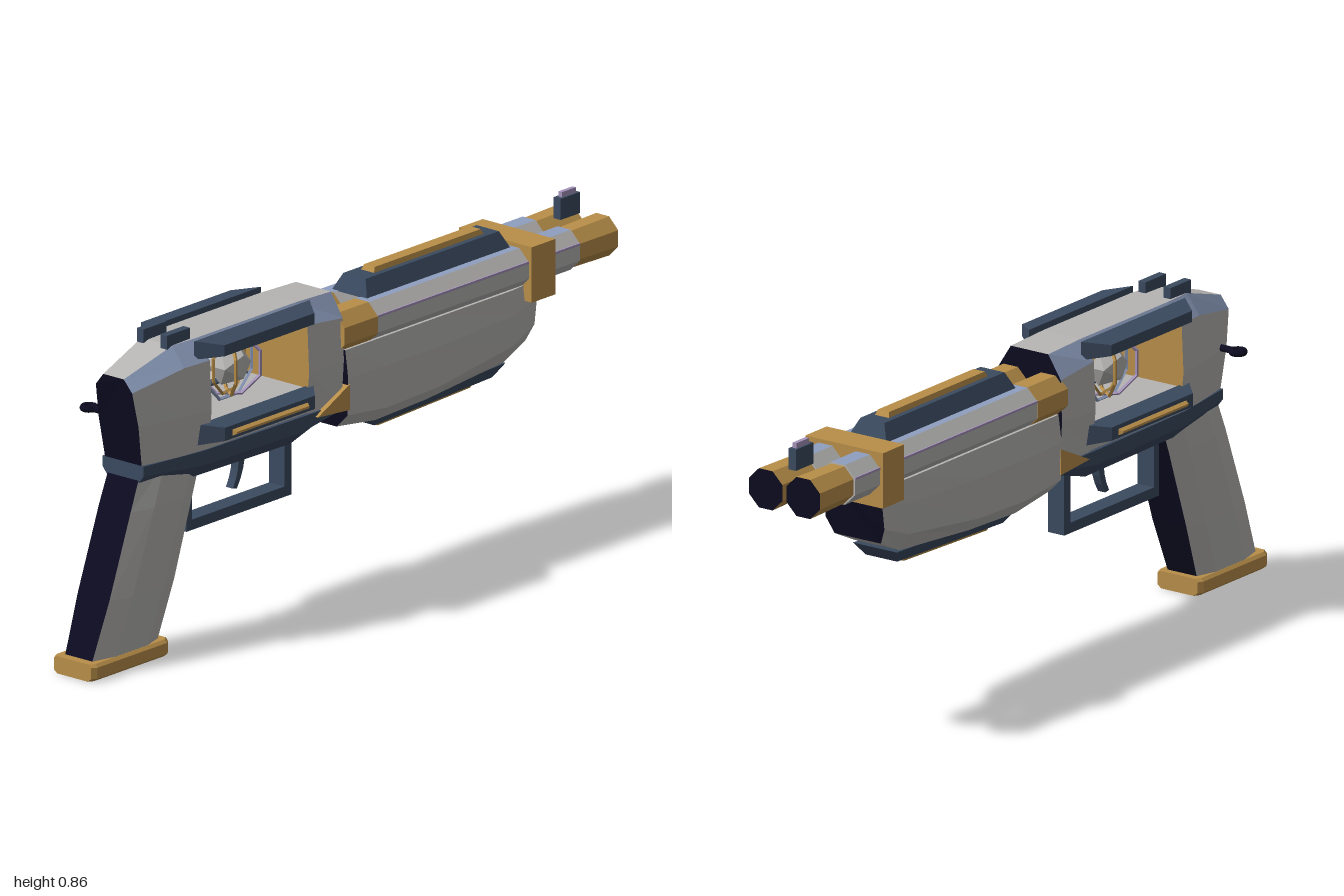
import * as THREE from 'three';

const mat = (name, color) => {
  const m = new THREE.MeshStandardMaterial({ color });
  m.name = name;
  return m;
};

export function createModel() {
  const group = new THREE.Group();
  const gray = mat('light gray', 0xb6b5b3);
  const blue = mat('pale blue', 0x8f9fc0);
  const steel = mat('dark steel', 0x3b4a60);
  const gold = mat('brass', 0xb98f49);
  const dark = mat('midnight', 0x0c0b20);
  const lilac = mat('lilac', 0xa794bd);

  const add = (name, geo, material, x = 0, y = 0, z = 0) => {
    const g = geo.index ? geo.toNonIndexed() : geo;
    g.computeVertexNormals(); // faceted look
    const m = new THREE.Mesh(g, material);
    m.name = name;
    m.position.set(x, y, z);
    group.add(m);
    return m;
  };

  // Loft of mirrored half rings [x, y, z]; colours for sides, bottom, top and caps
  function loft(name, sections, { sides, bottom, top, start, end }, z = 0) {
    const rings = sections.map(s => [...s, ...s.slice().reverse().map(([a, b, c]) => [a, b, -c])]);
    const n = sections[0].length, count = 2 * n;
    const pos = [], mats = [], geo = new THREE.BufferGeometry();
    const tri = (m, ...p) => {
      let i = mats.indexOf(m);
      if (i < 0) i = mats.push(m) - 1;
      geo.addGroup(pos.length / 3, 3, i);
      p.forEach(q => pos.push(...q));
    };
    const first = rings[0], last = rings[rings.length - 1];
    for (let k = 0; k < count; k++) {
      const j = (k + 1) % count;
      const m = k === n - 1 ? bottom : k === count - 1 ? top : sides[Math.min(k, count - 2 - k)];
      for (let r = 0; r + 1 < rings.length; r++) {
        const a = rings[r], b = rings[r + 1];
        tri(m, a[k], a[j], b[j]);
        tri(m, a[k], b[j], b[k]);
      }
      if (k > 0 && k < count - 1) {
        tri(end, last[0], last[k], last[j]);
        tri(start, first[0], first[j], first[k]);
      }
    }
    geo.setAttribute('position', new THREE.Float32BufferAttribute(pos, 3));
    return add(name, geo, mats, 0, 0, z);
  }
  const all = (c, n, over = {}) => ({ sides: Array(n).fill(c), bottom: c, top: c, start: c, end: c, ...over });
  const at = (x, pts) => pts.map(([y, z]) => [x, y, z]);
  const box = (name, m, x0, x1, y0, y1, hw, z = 0) =>
    add(name, new THREE.BoxGeometry(x1 - x0, y1 - y0, 2 * hw), m, (x0 + x1) / 2, (y0 + y1) / 2, z);

  // Plate whose outer face is smaller than its base
  function slab(w, h, d, insetX, insetZ) {
    const g = new THREE.BoxGeometry(w, h, d), p = g.attributes.position;
    for (let i = 0; i < p.count; i++) if (p.getY(i) > 0) {
      p.setX(i, p.getX(i) - Math.sign(p.getX(i)) * insetX);
      p.setZ(i, p.getZ(i) - Math.sign(p.getZ(i)) * insetZ);
    }
    return g;
  }

  // Grip and its base
  const gripRing = (y, f, b, w, s) => [[f, y, s], [f - 0.06, y, w], [b + 0.07, y, w], [b, y, s]];
  loft('grip', [
    gripRing(0.53, -0.55, -0.79, 0.07, 0.052),
    gripRing(0.42, -0.59, -0.835, 0.074, 0.054),
    gripRing(0.2, -0.665, -0.918, 0.073, 0.054),
    gripRing(0.045, -0.722, -0.977, 0.064, 0.046),
  ], all(gray, 3, { top: dark, bottom: dark }));
  const baseRing = (x, w) => at(x, [[0.05, w - 0.008], [0.042, w], [0.012, w], [0.003, w - 0.012]]);
  loft('gripBase', [baseRing(-1, 0.064), baseRing(-0.985, 0.073), baseRing(-0.715, 0.073), baseRing(-0.7, 0.064)], all(gold, 3));

  // Receiver: rear block, front block, and roof and floor around the open window
  const bodyEnd = at(-0.58, [[0.833, 0.06], [0.78, 0.102], [0.65, 0.108], [0.54, 0.097]]);
  const bodyColors = { sides: [blue, gray, gray], bottom: gray, top: gray };
  loft('receiverRear', [
    [[-0.84, 0.778, 0.035], [-0.838, 0.745, 0.062], [-0.82, 0.65, 0.068], [-0.8, 0.53, 0.062]],
    at(-0.67, [[0.831, 0.052], [0.778, 0.092], [0.65, 0.098], [0.53, 0.088]]),
    bodyEnd,
  ], { ...bodyColors, start: dark, end: gold });
  loft('receiverFront', [
    bodyEnd.map(([, y, z]) => [-0.2, y, z]),
    at(-0.06, [[0.828, 0.06], [0.765, 0.1], [0.65, 0.104], [0.52, 0.095]]),
  ], { ...bodyColors, start: gold, end: dark });
  const roof = [[0.833, 0.06], [0.793, 0.092], [0.788, 0.092]];
  loft('receiverRoof', [at(-0.58, roof), at(-0.2, roof)], all(gray, 2, { sides: [blue, gray] }));
  const floor = [[0.61, 0.105], [0.54, 0.097]];
  loft('receiverFloor', [at(-0.58, floor), at(-0.2, floor)], all(gray, 1));

  // Lower frame
  const frame = (x, t, b, wt, wb) => at(x, [[t, wt], [(t + b) / 2, wt], [b, wb]]);
  loft('lowerFrame', [
    frame(-0.803, 0.54, 0.485, 0.07, 0.048),
    frame(-0.6, 0.54, 0.46, 0.1, 0.06),
    frame(-0.22, 0.538, 0.455, 0.104, 0.06),
    frame(-0.06, 0.535, 0.502, 0.1, 0.06),
  ], all(steel, 2, { bottom: dark }));
  const wedge = new THREE.Shape([[-0.17, 0.525], [-0.045, 0.515], [-0.045, 0.585]].map(p => new THREE.Vector2(...p)));
  add('jointWedge', new THREE.ExtrudeGeometry(wedge, { depth: 0.224, bevelEnabled: false }), gold, 0, 0, -0.112);

  // Trigger guard and trigger
  const guard = new THREE.Shape([[-0.585, 0.3], [-0.175, 0.3], [-0.175, 0.47], [-0.585, 0.47]].map(p => new THREE.Vector2(...p)));
  guard.holes.push(new THREE.Path([[-0.563, 0.328], [-0.563, 0.455], [-0.203, 0.455], [-0.203, 0.328]].map(p => new THREE.Vector2(...p))));
  add('triggerGuard', new THREE.ExtrudeGeometry(guard, { depth: 0.052, bevelEnabled: false }), steel, 0, 0, -0.026);
  const trig = new THREE.Shape();
  trig.moveTo(-0.365, 0.47);
  trig.quadraticCurveTo(-0.36, 0.41, -0.388, 0.365);
  trig.lineTo(-0.372, 0.362);
  trig.quadraticCurveTo(-0.34, 0.41, -0.338, 0.47);
  add('trigger', new THREE.ExtrudeGeometry(trig, { depth: 0.024, bevelEnabled: false, curveSegments: 4 }), steel, 0, 0, -0.012);

  // Energy core with crossed octagonal rings
  add('core', new THREE.IcosahedronGeometry(0.06, 0), gray, -0.39, 0.703, 0);
  [['outerRing', 0.096, blue, 0], ['innerRing', 0.08, gold, 0.15], ['crossRing', 0.083, gold, 0.95], ['thinRing', 0.087, lilac, -0.8]]
    .forEach(([name, r, m, turn]) => {
      const t = add(name, new THREE.TorusGeometry(r, 0.005, 4, 8).rotateZ(Math.PI / 8), m, -0.39, 0.703, 0);
      t.rotation.y = turn;
    });

  // Rails above and below the window, both sides
  for (const s of [1, -1]) {
    const rail = (name, m, w, h, d, inset, y, z) => {
      const r = add(name, slab(w, d, h, inset, 0.01), m, -0.395, y, s * z);
      r.rotation.x = s * Math.PI / 2;
    };
    rail('upperRail', steel, 0.45, 0.05, 0.06, 0.05, 0.812, 0.113);
    rail('lowerRail', steel, 0.45, 0.056, 0.05, 0.05, 0.586, 0.12);
    rail('lowerRailTrim', gold, 0.3, 0.026, 0.02, 0.008, 0.584, 0.146);
    box('rearSight', steel, -0.69, -0.6, 0.82, 0.862, 0.011, s * 0.04);
  }

  // Sling loop on the right side
  add('slingStub', new THREE.CylinderGeometry(0.01, 0.01, 0.06, 8).rotateX(Math.PI / 2), dark, -0.79, 0.655, -0.085);
  add('slingLoop', new THREE.TorusGeometry(0.017, 0.009, 6, 10).rotateX(Math.PI / 2), dark, -0.79, 0.655, -0.127);

  // Foregrip
  loft('foregrip', [
    at(-0.05, [[0.675, 0.1], [0.6, 0.11], [0.5, 0.108], [0.462, 0.07]]),
    at(0.1, [[0.675, 0.1], [0.6, 0.112], [0.485, 0.11], [0.443, 0.072]]),
    at(0.3, [[0.675, 0.1], [0.6, 0.112], [0.49, 0.11], [0.45, 0.072]]),
    at(0.6, [[0.675, 0.1], [0.61, 0.108], [0.525, 0.104], [0.475, 0.072]]),
    [[0.705, 0.675, 0.09], [0.705, 0.63, 0.094], [0.695, 0.56, 0.094], [0.683, 0.515, 0.074]],
  ], all(gray, 3, { start: dark, end: dark }));
  const under = [
    add('foregripPlate', slab(0.52, 0.035, 0.14, 0.03, 0.02).rotateX(Math.PI), steel, 0.35, 0.444, 0),
    add('foregripTrim', slab(0.38, 0.02, 0.066, 0.01, 0.006).rotateX(Math.PI), gold, 0.34, 0.42, 0),
  ];
  under.forEach(m => { m.rotation.z = 0.035; });

  // Twin octagonal barrels
  const oct = (x, a) => at(x, [[0.72 + a, 0.414 * a], [0.72 + 0.414 * a, a], [0.72 - 0.414 * a, a], [0.72 - a, 0.414 * a]]);
  for (const s of [1, -1]) {
    const z = s * 0.06;
    loft('barrelBreech', [oct(-0.07, 0.055), oct(0.06, 0.055)], all(gold, 3), z);
    loft('barrel', [oct(0.06, 0.054), oct(0.85, 0.054)], all(gray, 3, { top: blue }), z);
    loft('muzzle', [oct(0.85, 0.05), oct(1, 0.053)], all(gold, 3, { end: dark }), z);
    box('barrelStripe', lilac, 0.06, 0.85, 0.739, 0.745, 0.002, s * 0.1135);
  }
  box('barrelBand', gold, 0.65, 0.742, 0.635, 0.785, 0.124);

  // Top rail and front sight
  add('topRail', slab(0.56, 0.045, 0.12, 0.02, 0.022), steel, 0.36, 0.795, 0);
  add('topRailTrim', slab(0.43, 0.016, 0.046, 0.008, 0.005), gold, 0.365, 0.823, 0);
  box('frontSight', steel, 0.89, 0.967, 0.775, 0.832, 0.012);
  box('frontSightBead', lilac, 0.902, 0.957, 0.832, 0.846, 0.006);

  return group;
}
